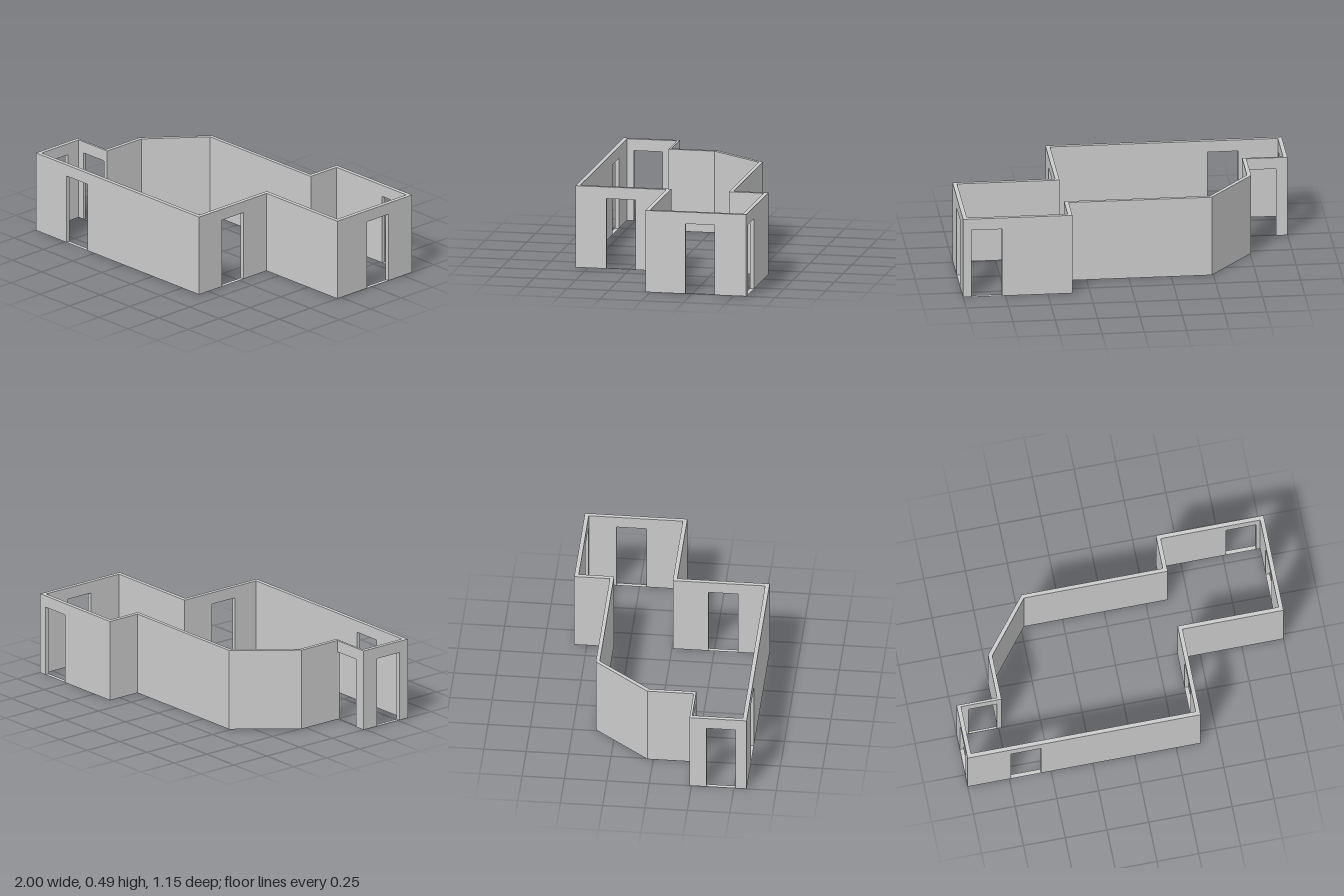
import * as THREE from 'three';

const HEIGHT = 0.49, DOOR_HEIGHT = 0.42;

// Each wall starts at its outer/inner plan corner (x, z) and runs to the next one,
// counter-clockwise seen from above. door = [start, end] along the outer face.
const WALLS = [
  { name: 'frontWall', outer: [-1, 0.575], inner: [-0.975, 0.55], door: [0.26, 0.44] },
  { name: 'frontRoomSideWall', outer: [0.395, 0.575], inner: [0.37, 0.55], door: [0.185, 0.36] },
  { name: 'wingFrontWall', outer: [0.395, 0.03], inner: [0.37, 0.005] },
  { name: 'wingEndWall', outer: [1, 0.03], inner: [0.975, 0.005], door: [0.24, 0.415] },
  { name: 'wingBackWall', outer: [1, -0.575], inner: [0.975, -0.55], door: [0.05, 0.23] },
  { name: 'wingReturnWall', outer: [0.355, -0.575], inner: [0.38, -0.55] },
  { name: 'backWall', outer: [0.355, -0.365], inner: [0.38, -0.342] },
  { name: 'diagonalWall', outer: [-0.49, -0.365], inner: [-0.48, -0.342] },
  { name: 'sideWall', outer: [-0.757, -0.035], inner: [-0.733, -0.025] },
  { name: 'porchBackWall', outer: [-0.757, 0.238], inner: [-0.733, 0.252], door: [0.004, 0.175] },
  { name: 'porchEndWall', outer: [-1, 0.238], inner: [-0.975, 0.252], door: [0.1, 0.272] },
];

const material = new THREE.MeshStandardMaterial({ color: 0xcccccc, side: THREE.DoubleSide });

function makeWall(wall, next) {
  const [x0, z0] = wall.outer;
  const dx = next.outer[0] - x0, dz = next.outer[1] - z0;
  const length = Math.hypot(dx, dz);
  const ux = dx / length, uz = dz / length;

  // plan point -> wall coordinates: along the wall, and outward
  const toLocal = ([x, z]) => [(x - x0) * ux + (z - z0) * uz, -(x - x0) * uz + (z - z0) * ux];
  const innerStart = toLocal(wall.inner), innerEnd = toLocal(next.inner);

  // elevation with the doorway cut out of the lower edge
  const points = [[0, 0]];
  if (wall.door) {
    const [a, b] = wall.door;
    points.push([a, 0], [a, DOOR_HEIGHT], [b, DOOR_HEIGHT], [b, 0]);
  }
  points.push([length, 0], [length, HEIGHT], [0, HEIGHT]);
  const shape = new THREE.Shape(points.map(([x, y]) => new THREE.Vector2(x, y)));
  const geometry = new THREE.ExtrudeGeometry(shape, { depth: 1, bevelEnabled: false });

  // set the thickness and mitre both ends
  const pos = geometry.attributes.position;
  for (let i = 0; i < pos.count; i++) {
    const s = pos.getX(i);
    if (pos.getZ(i) > 0.5) {
      pos.setZ(i, 0);
      continue;
    }
    pos.setZ(i, THREE.MathUtils.lerp(innerStart[1], innerEnd[1], s / length));
    if (s < 1e-4) pos.setX(i, innerStart[0]);
    else if (s > length - 1e-4) pos.setX(i, innerEnd[0]);
  }
  geometry.computeVertexNormals();

  const group = new THREE.Group();
  group.name = wall.name;
  const body = new THREE.Mesh(geometry, material);
  body.name = wall.name + 'Body';
  group.add(body);

  // flat threshold closing the footprint under the doorway
  if (wall.door) {
    const [a, b] = wall.door;
    const sill = new THREE.PlaneGeometry(b - a, -innerStart[1]).rotateX(-Math.PI / 2);
    sill.translate((a + b) / 2, 0, innerStart[1] / 2);
    const threshold = new THREE.Mesh(sill, material);
    threshold.name = 'threshold';
    group.add(threshold);
  }

  group.position.set(x0, 0, z0);
  group.rotation.y = Math.atan2(-dz, dx);
  return group;
}

export function createModel() {
  const model = new THREE.Group();
  model.name = 'houseWalls';
  WALLS.forEach((wall, i) => model.add(makeWall(wall, WALLS[(i + 1) % WALLS.length])));
  return model;
}
